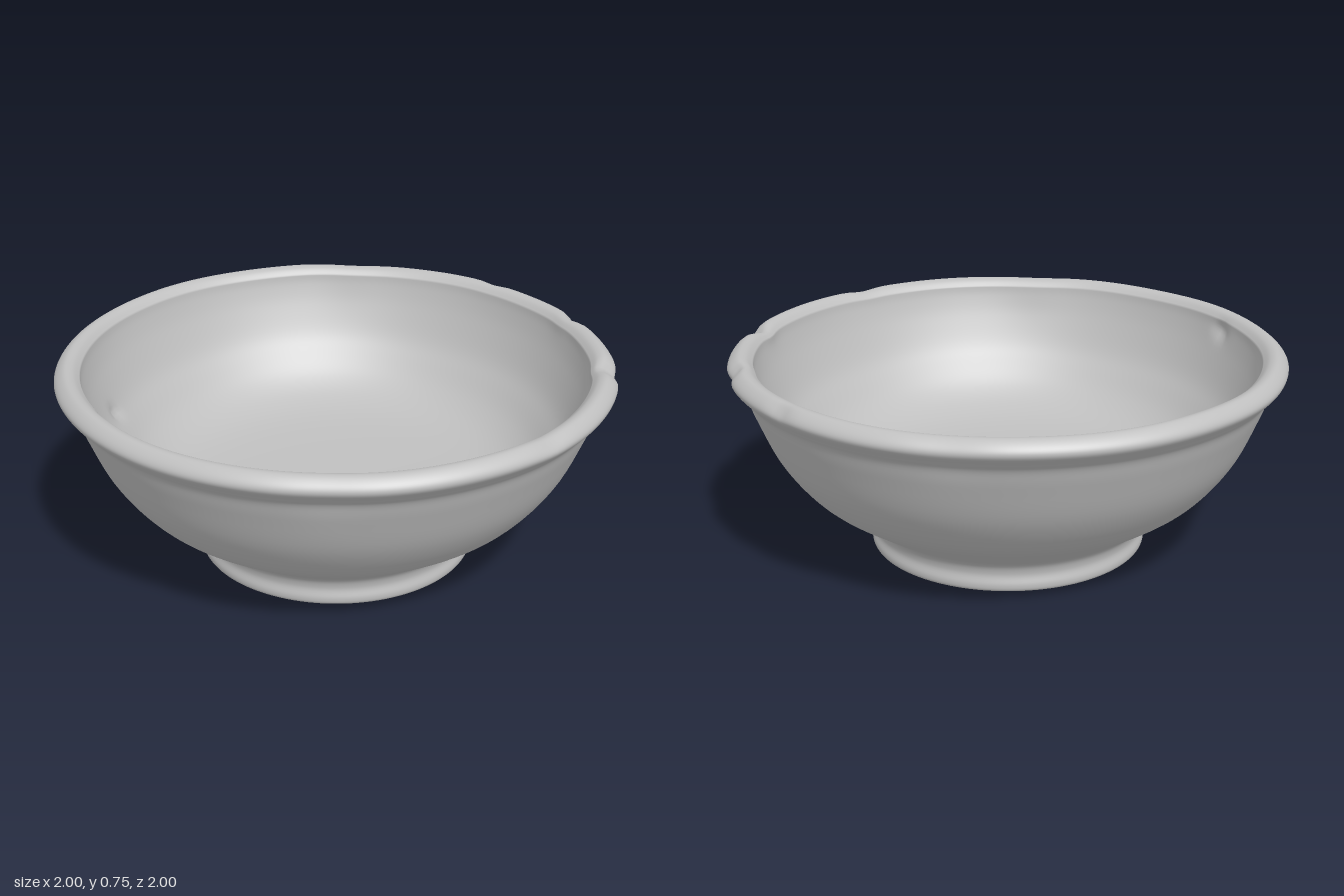
import * as THREE from 'three';
import { mergeVertices } from 'three/addons/utils/BufferGeometryUtils.js';

const clay = new THREE.MeshStandardMaterial({ color: 0xbfbfbf });
clay.name = 'grey clay';

const v2 = (p) => new THREE.Vector2(p[0], p[1]);
const smooth = (pts, n) => new THREE.SplineCurve(pts.map(v2)).getPoints(n);

// Worn spots: angle from +x towards +z (degrees), radius, height, spread, inward push, downward push
const chips = [
  [51, 0.97, 0.73, 0.055, 0.022, 0.02],
  [23, 0.98, 0.72, 0.05, 0.022, 0.008],
  [-4, 0.99, 0.72, 0.045, 0.012, 0.008],
  [-41, 1.0, 0.72, 0.12, 0.01, 0.004],
  [90, 0.97, 0.74, 0.06, 0.004, 0.008],
  [136, 0.99, 0.70, 0.12, 0.008, 0.002],
  [193, 0.91, 0.68, 0.035, -0.02, 0.006],
  [213, 0.774, 0.43, 0.035, -0.02, 0],
  [230.5, 0.817, 0.472, 0.03, -0.02, 0],
];

export function createModel() {
  const group = new THREE.Group();
  group.name = 'bowl';

  // One closed profile: flat base, foot, outer wall, rim, inner wall, floor
  const outside = smooth([
    [0.485, 0], [0.503, 0.008], [0.507, 0.03], [0.5, 0.07], [0.522, 0.115], [0.605, 0.17],
    [0.74, 0.267], [0.845, 0.4], [0.915, 0.555], [0.943, 0.627], [0.968, 0.658],
    [1.0, 0.695], [0.995, 0.722], [0.965, 0.745], [0.935, 0.741], [0.911, 0.72],
  ], 80);
  const inside = smooth([
    [0.911, 0.72], [0.904, 0.68], [0.878, 0.6], [0.83, 0.49], [0.78, 0.42],
    [0.71, 0.345], [0.62, 0.29], [0.5, 0.26], [0.3, 0.247], [0, 0.243],
  ], 45);
  inside[inside.length - 1].x = 0;
  const profile = [v2([0, 0]), v2([0.25, 0]), v2([0.47, 0]), ...outside, ...inside.slice(1)];

  let geo = new THREE.LatheGeometry(profile, 180);
  geo.deleteAttribute('uv');
  geo.deleteAttribute('normal');
  geo = mergeVertices(geo, 1e-4);

  // Dent the surface at each chip and leave the rim slightly uneven
  const pos = geo.attributes.position;
  const p = new THREE.Vector3(), c = new THREE.Vector3();
  for (let i = 0; i < pos.count; i++) {
    p.fromBufferAttribute(pos, i);
    const r = Math.hypot(p.x, p.z);
    if (r < 0.55 || p.y < 0.25) continue;
    const a = Math.atan2(p.z, p.x);
    let push = 0, drop = 0;
    for (const [deg, cr, cy, spread, inward, down] of chips) {
      const t = THREE.MathUtils.degToRad(deg);
      c.set(cr * Math.cos(t), cy, cr * Math.sin(t));
      const w = Math.exp(-p.distanceToSquared(c) / (spread * spread));
      push += inward * w;
      drop += down * w;
    }
    const rim = THREE.MathUtils.smoothstep(p.y, 0.6, 0.72);
    push += rim * 0.0015 * (1 + Math.sin(7 * a + 1) * Math.cos(4 * a));
    drop += rim * 0.001 * (1 + Math.sin(9 * a));
    const k = (r - push) / r;
    pos.setXYZ(i, p.x * k, p.y - drop, p.z * k);
  }
  geo.computeVertexNormals();

  const body = new THREE.Mesh(geo, clay);
  body.name = 'bowlBody';
  group.add(body);
  return group;
}
